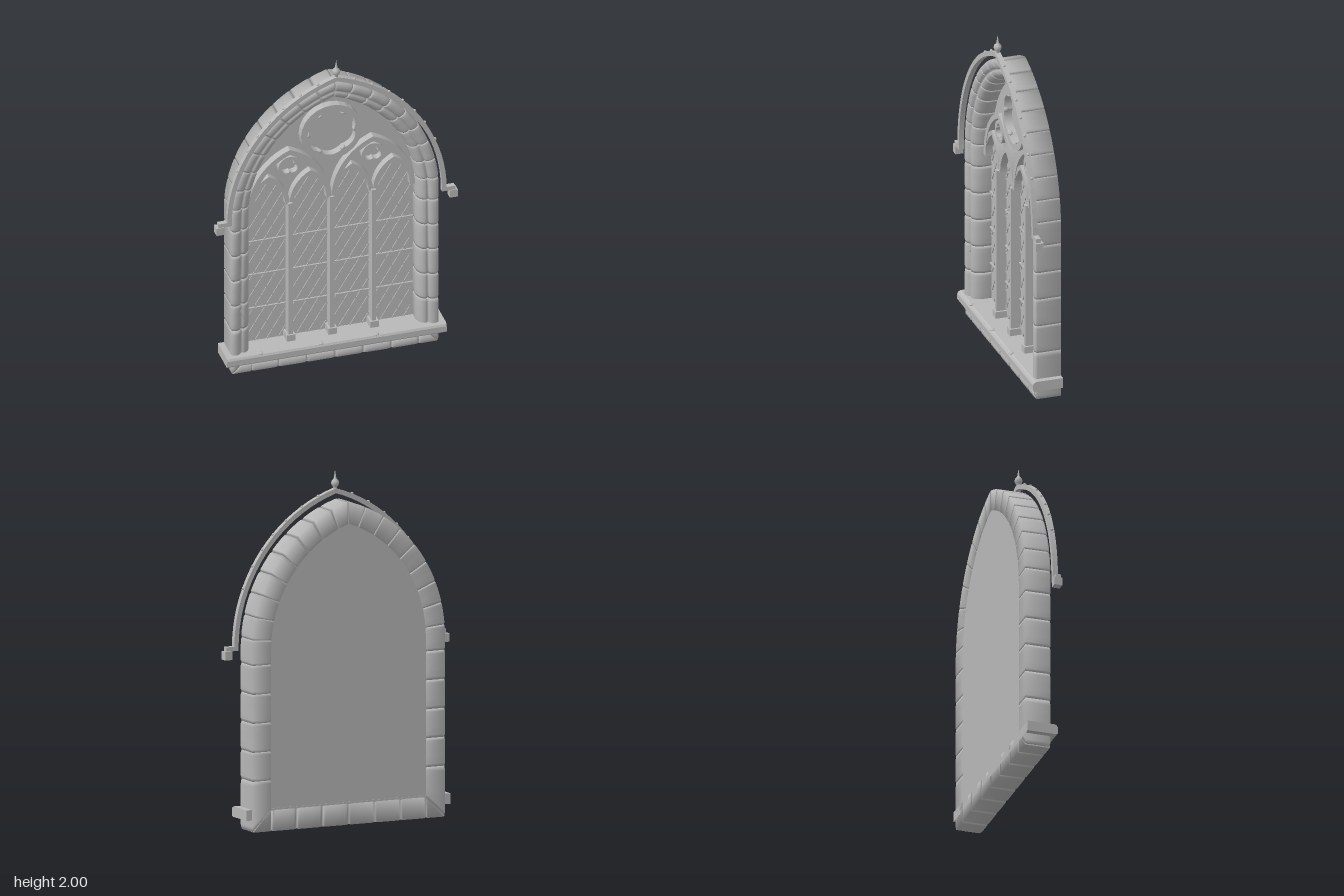
import * as THREE from 'three';

const stone = new THREE.MeshStandardMaterial({ color: 0xb8b8b8 });
const SPRING = 1.03, R = 0.843, CX = 0.233, BACK = -0.095, GLASS = -0.065;

// moulded section of the frame: [distance inward from the outer edge, z]
const profile = [
  [0, BACK], [0, 0.045], [0.008, 0.056], [0.025, 0.06], [0.045, 0.056], [0.056, 0.045], [0.061, 0.034],
  [0.068, 0.042], [0.082, 0.043], [0.098, 0.034], [0.11, 0.018], [0.12, -0.01], [0.12, BACK],
];

function mesh(geometry, name, parent) {
  const m = new THREE.Mesh(geometry, stone);
  m.name = name;
  parent.add(m);
  return m;
}

function box(name, parent, x, y, z, w, h, d) {
  const m = mesh(new THREE.BoxGeometry(w, h, d), name, parent);
  m.position.set(x, y, z);
  return m;
}

function pellet(name, parent, x, y, z, r, sx = 1, sy = 1, sz = 1) {
  const m = mesh(new THREE.SphereGeometry(r, 10, 8), name, parent);
  m.position.set(x, y, z);
  m.scale.set(sx, sy, sz);
  return m;
}

function plate(shape, z0, z1, name, parent) {
  const g = new THREE.ExtrudeGeometry(shape, { depth: z1 - z0, bevelEnabled: false });
  g.translate(0, 0, z0);
  return mesh(g, name, parent);
}

// one pillowed stone swept along point(t, d), mirrored when side = -1
function block(point, side, name, parent) {
  const ts = [0, 0.1, 0.35, 0.65, 0.9, 1], n = profile.length;
  const pos = [], idx = [];
  const tri = (a, b, c) => (side > 0 ? idx.push(a, b, c) : idx.push(a, c, b));
  const add = (t, d, z) => {
    const [x, y] = point(t, d);
    pos.push(side * x, y, z);
  };
  ts.forEach((t, k) => {
    const f = k === 0 || k === ts.length - 1 ? 0.94 : 1;
    profile.forEach(([d, z]) => add(t, 0.06 + (d - 0.06) * f, z < BACK + 0.001 ? z : -0.02 + (z + 0.02) * f));
  });
  add(0, 0.06, -0.03);
  add(1, 0.06, -0.03);
  const last = (ts.length - 1) * n, c0 = ts.length * n;
  for (let i = 0; i < n; i++) {
    const j = (i + 1) % n;
    for (let k = 0; k < last; k += n) {
      tri(k + i, k + n + i, k + n + j);
      tri(k + i, k + n + j, k + j);
    }
    tri(c0, i, j);
    tri(c0 + 1, last + j, last + i);
  }
  const g = new THREE.BufferGeometry();
  g.setAttribute('position', new THREE.Float32BufferAttribute(pos, 3));
  g.setIndex(idx);
  g.computeVertexNormals();
  mesh(g, name, parent);
}

// pointed arch from right foot over the apex to left foot
function archPoints(cx, half, r, y, n = 20) {
  const off = r - half, end = Math.acos(off / r), right = [];
  for (let i = 0; i <= n; i++) {
    const a = (end * i) / n;
    right.push(new THREE.Vector2(r * Math.cos(a) - off, y + r * Math.sin(a)));
  }
  const left = right.slice(0, -1).reverse().map((p) => new THREE.Vector2(cx - p.x, p.y));
  return right.map((p) => new THREE.Vector2(cx + p.x, p.y)).concat(left);
}

function archBand(cx, half, r, width, y, z0, z1, name, parent) {
  const inner = archPoints(cx, half - width, r - width, y).reverse();
  return plate(new THREE.Shape(archPoints(cx, half, r, y).concat(inner)), z0, z1, name, parent);
}

// round tracery pierced by a lobed opening
function foil(cx, cy, r, lobes, hole, wave, z1, name, parent) {
  const s = new THREE.Shape();
  s.absarc(cx, cy, r, 0, Math.PI * 2);
  const pts = [];
  for (let i = 0; i < 72; i++) {
    const a = (i / 72) * Math.PI * 2;
    const q = hole + wave * Math.abs(Math.sin((lobes * (a - Math.PI / 2)) / 2 + Math.PI / 2));
    pts.push(new THREE.Vector2(cx + q * Math.cos(a), cy + q * Math.sin(a)));
  }
  s.holes.push(new THREE.Path(pts));
  const m = plate(s, GLASS, z1, name, parent);
  for (let i = 0; i < lobes; i++) {
    const a = Math.PI / 2 + ((i + 0.5) * 2 * Math.PI) / lobes;
    const leaf = pellet('cuspLeaf', parent, cx + hole * Math.cos(a), cy + hole * Math.sin(a), z1 - 0.01, r * 0.09, 1, 0.6, 1);
    leaf.rotation.z = a + Math.PI / 2;
  }
  return m;
}

export function createModel() {
  const model = new THREE.Group();
  model.name = 'gothicWindow';
  const group = (name) => {
    const g = new THREE.Group();
    g.name = name;
    model.add(g);
    return g;
  };

  // frame of separate stones: jambs, arch and bottom course
  const frame = group('stoneFrame');
  const joints = [0, 0.29, 0.455, 0.62, 0.785, 0.95];
  for (let k = 0; k < 8; k++) joints.push(1.095 + 0.1295 * k);
  joints.push(9);
  const clampQ = (q, d) => Math.min(Math.max(q, d), SPRING + R * Math.acos(CX / (R - d)));
  const base = [0, 0.165, 0.33, 0.49, 9];
  for (const side of [1, -1]) {
    for (let i = 0; i + 1 < joints.length; i++) {
      block((t, d) => {
        const q = THREE.MathUtils.lerp(clampQ(joints[i], d), clampQ(joints[i + 1], d), t);
        if (q < SPRING) return [0.61 - d, q];
        const a = (q - SPRING) / R;
        return [(R - d) * Math.cos(a) - CX, SPRING + (R - d) * Math.sin(a)];
      }, side, i < 6 ? 'jambStone' : 'archStone', frame);
    }
    for (let i = 0; i + 1 < base.length; i++) {
      block((t, d) => [THREE.MathUtils.lerp(base[i], Math.min(base[i + 1], 0.61 - d), t), d], side, 'baseStone', frame);
    }
  }
  const crack = [[-0.553, 0.45], [-0.545, 0.42], [-0.556, 0.4], [-0.543, 0.385], [-0.537, 0.35]];
  const crackPath = new THREE.CurvePath();
  for (let i = 0; i < 4; i++) {
    crackPath.add(new THREE.LineCurve3(new THREE.Vector3(...crack[i], 0.042), new THREE.Vector3(...crack[i + 1], 0.042)));
  }
  mesh(new THREE.TubeGeometry(crackPath, 16, 0.003, 5), 'crack', frame);

  // sill with a softened front edge
  const sill = group('sill');
  const sillShape = new THREE.Shape([
    [BACK, 0.07], [0.078, 0.07], [0.085, 0.078], [0.085, 0.112], [0.078, 0.124], [0.066, 0.13], [BACK, 0.13],
  ].map(([z, y]) => new THREE.Vector2(-z, y)));
  const sillMesh = plate(sillShape, -0.645, 0.645, 'sillSlab', sill);
  sillMesh.rotation.y = Math.PI / 2;
  for (const x of [-0.445, -0.09, 0.235]) pellet('sillPellet', sill, x, 0.13, 0.072, 0.015, 1, 0.4, 1);

  // backing panel that closes the opening
  const glazing = group('glazing');
  const opening = [new THREE.Vector2(-0.495, 0.1), new THREE.Vector2(0.495, 0.1)];
  plate(new THREE.Shape(opening.concat(archPoints(0, 0.495, 0.728, SPRING, 30))), BACK + 0.002, GLASS, 'panel', glazing);

  // diamond leading and saddle bars of the four lights
  for (let l = 0; l < 4; l++) {
    const cx = -0.3675 + l * 0.245;
    const inside = (x, y) => y > 0.13 && Math.abs(x - cx) < 0.112 &&
      (y < SPRING || Math.hypot(Math.abs(x - cx) + 0.1025, y - SPRING) < 0.21);
    for (const dir of [1, -1]) {
      for (let y0 = -0.1; y0 < 1.4; y0 += 0.115) {
        const run = [];
        for (let i = 0; i <= 80; i++) {
          const x = -0.112 + (0.224 * i) / 80, y = y0 + dir * x * 1.65;
          if (inside(cx + x, y)) run.push([cx + x, y]);
        }
        if (run.length < 3) continue;
        const [ax, ay] = run[0], [bx, by] = run[run.length - 1];
        const lead = box('leadStrip', glazing, (ax + bx) / 2, (ay + by) / 2, GLASS + 0.002,
          Math.hypot(bx - ax, by - ay), 0.006, 0.007);
        lead.rotation.z = Math.atan2(by - ay, bx - ax);
      }
    }
    for (const y of [0.35, 0.572, 0.793]) box('saddleBar', glazing, cx, y, GLASS + 0.005, 0.245, 0.007, 0.012);
  }

  // mullions and tracery
  const tracery = group('tracery');
  for (const x of [-0.245, 0, 0.245]) {
    box('mullion', tracery, x, 0.585, -0.035, 0.026, 0.91, 0.06);
    box('mullionFoot', tracery, x, 0.148, -0.03, 0.05, 0.044, 0.07);
  }
  for (let l = 0; l < 4; l++) {
    archBand(-0.3675 + l * 0.245, 0.1225, 0.225, 0.025, SPRING, GLASS, -0.022, 'lightHead', tracery);
  }
  for (const x of [-0.245, 0.245]) {
    archBand(x, 0.245, 0.387, 0.03, SPRING, GLASS, -0.018, 'subArch', tracery);
    foil(x, 1.275, 0.066, 3, 0.032, 0.018, -0.022, 'trefoil', tracery);
  }
  foil(0, 1.463, 0.18, 6, 0.134, 0.014, -0.018, 'rosette', tracery);

  // hood mould with pellets, label stops and finial
  const hood = group('hoodMould');
  archBand(0, 0.645, 0.901, 0.027, SPRING, 0.055, 0.085, 'hoodArch', hood);
  for (const s of [1, -1]) {
    for (const x of [0.107, 0.21, 0.31, 0.39, 0.46, 0.52, 0.58]) {
      const a = Math.acos((x + 0.256) / 0.901);
      pellet('hoodPellet', hood, s * x, SPRING + 0.901 * Math.sin(a), 0.07, 0.009);
    }
    box('hoodReturn', hood, s * 0.656, 1.028, 0.07, 0.078, 0.025, 0.03);
    box('labelStop', hood, s * 0.685, 0.992, 0.066, 0.047, 0.048, 0.046);
  }
  const finial = mesh(new THREE.LatheGeometry([
    [0.012, 1.885], [0.01, 1.9], [0.018, 1.908], [0.023, 1.922], [0.02, 1.936], [0.01, 1.946], [0.007, 1.955], [0, 2],
  ].map(([x, y]) => new THREE.Vector2(x, y)), 16), 'finial', hood);
  finial.position.z = 0.07;

  return model;
}
